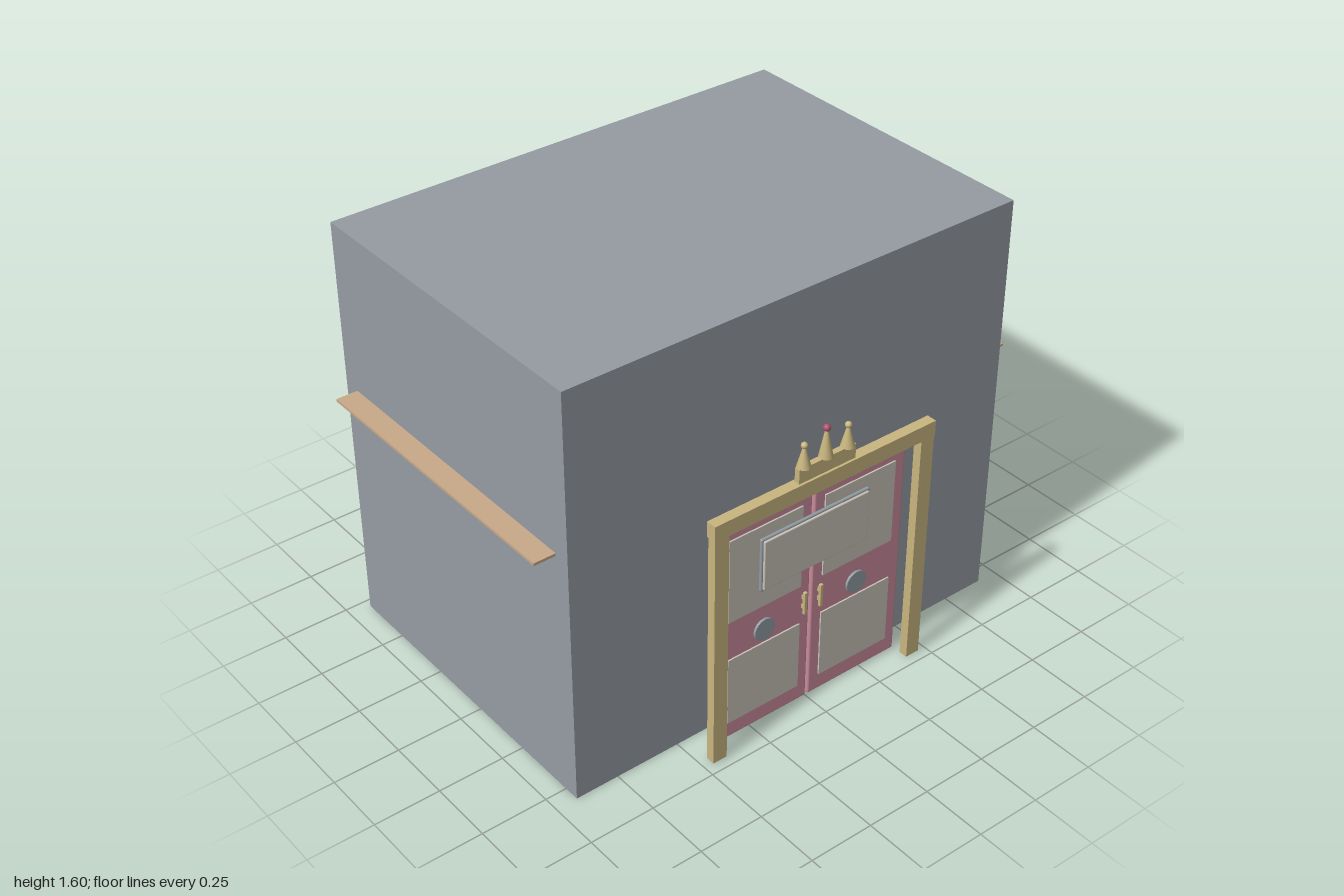
import * as THREE from 'three';
import { RoundedBoxGeometry } from 'three/addons/geometries/RoundedBoxGeometry.js';

const mat = (name, color, flatShading = false) => {
  const m = new THREE.MeshStandardMaterial({ color, flatShading });
  m.name = name;
  return m;
};

export function createModel() {
  const wallGrey = mat('wallGrey', 0x969ca3);
  const wood = mat('wood', 0xc8aa88);
  const gold = mat('gold', 0xc9b67f);
  const goldFacet = gold;
  const pink = mat('pink', 0xcb8c9d);
  const cream = mat('cream', 0xc9c2b8);
  const blueGrey = mat('blueGrey', 0x929da3);
  const ruby = mat('ruby', 0xb0506e);

  const model = new THREE.Group();
  model.name = 'buildingWithDoors';

  const add = (name, geometry, material, x = 0, y = 0, z = 0) => {
    const mesh = new THREE.Mesh(geometry, material);
    mesh.name = name;
    mesh.position.set(x, y, z);
    model.add(mesh);
    return mesh;
  };
  // Box given by its min and max on each axis; a radius rounds its edges
  const box = (name, material, [x0, x1], [y0, y1], [z0, z1], radius = 0) => {
    const size = [x1 - x0, y1 - y0, z1 - z0];
    const geometry = radius
      ? new RoundedBoxGeometry(...size, 3, radius)
      : new THREE.BoxGeometry(...size);
    return add(name, geometry, material, (x0 + x1) / 2, (y0 + y1) / 2, (z0 + z1) / 2);
  };
  const span = (side, a, b) => (side > 0 ? [a, b] : [-b, -a]);

  // Main block
  box('building', wallGrey, [-0.918, 0.918], [0, 1.595], [-0.715, 0.56]);

  for (const side of [1, -1]) {
    const label = side > 0 ? 'left' : 'right';

    // Side ledge
    box(label + 'Ledge', wood, span(side, 0.91, 1), [0.965, 0.975], [-0.648, 0.498]);

    // Door frame post
    box(label + 'Post', gold, span(side, 0.41, 0.467), [0.004, 0.935], [0.679, 0.713]);

    // Door leaf with two inset panels
    box(label + 'Door', pink, span(side, 0.004, 0.405), [0.008, 0.926], [0.614, 0.647], 0.008);
    box(label + 'UpperPanel', cream, span(side, 0.048, 0.358), [0.51, 0.842], [0.645, 0.653]);
    box(label + 'LowerPanel', cream, span(side, 0.048, 0.358), [0.077, 0.35], [0.645, 0.653]);

    // Round plate
    const disc = new THREE.CylinderGeometry(0.043, 0.043, 0.012, 32);
    add(label + 'Disc', disc, blueGrey, side * 0.203, 0.408, 0.65).rotation.x = Math.PI / 2;

    // Pull handle on two mounts
    box(label + 'Handle', gold, span(side, 0.028, 0.042), [0.393, 0.485], [0.655, 0.667], 0.003);
    for (const y of [0.42, 0.458])
      box(label + 'HandleMount', gold, span(side, 0.031, 0.039), [y - 0.008, y + 0.008], [0.645, 0.657]);
  }

  // Lintel
  box('lintel', gold, [-0.469, 0.469], [0.93, 0.99], [0.675, 0.715]);

  // Blank sign board across both doors, with its backing
  box('signBacking', blueGrey, [-0.234, 0.234], [0.583, 0.797], [0.651, 0.664], 0.006);
  box('signBoard', cream, [-0.226, 0.226], [0.591, 0.789], [0.658, 0.672], 0.004);

  // Crown: base bar, three spikes and their tip beads
  box('crownBase', gold, [-0.12, 0.12], [0.988, 1.045], [0.684, 0.706]);
  for (const x of [-0.093, 0, 0.093]) {
    const height = x === 0 ? 0.1 : 0.072;
    const spike = new THREE.CylinderGeometry(0.006, 0.025, height, 16);
    add('crownSpike', spike, goldFacet, x, 1.042 + height / 2, 0.695);
    const bead = new THREE.SphereGeometry(x === 0 ? 0.013 : 0.012, 16, 12);
    add('crownBead', bead, x === 0 ? ruby : gold, x, x === 0 ? 1.152 : 1.124, 0.695);
  }

  return model;
}
